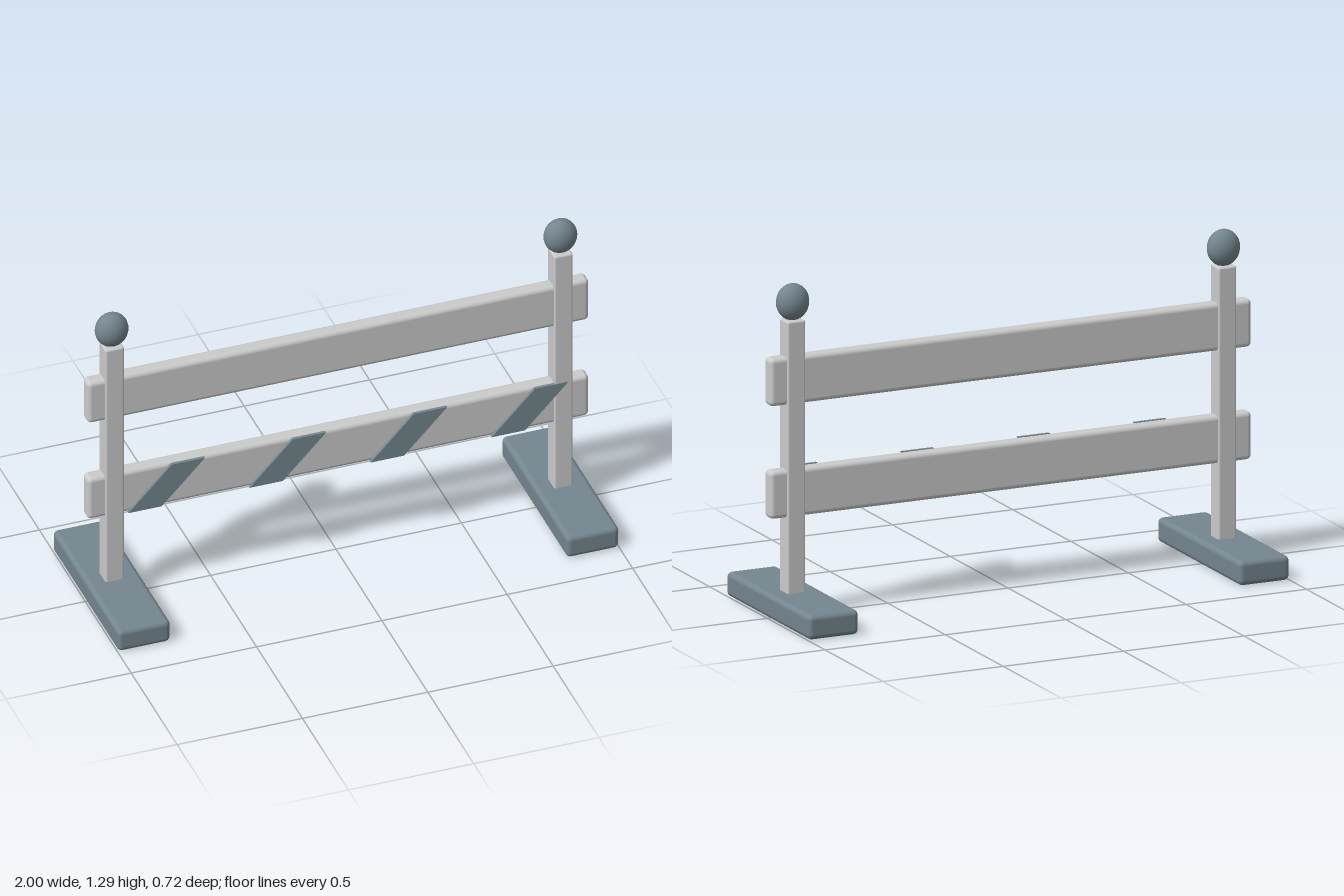
import * as THREE from 'three';
import { RoundedBoxGeometry } from 'three/addons/geometries/RoundedBoxGeometry.js';

const pale = new THREE.MeshStandardMaterial({ color: 0xc6cac6 });
const slate = new THREE.MeshStandardMaterial({ color: 0x74868f });

function add(parent, name, geometry, material, x, y, z) {
  const mesh = new THREE.Mesh(geometry, material);
  mesh.name = name;
  mesh.position.set(x, y, z);
  parent.add(mesh);
  return mesh;
}

const block = (w, h, d, r) => new RoundedBoxGeometry(w, h, d, 3, r);

export function createModel() {
  const model = new THREE.Group();
  model.name = 'barrier';

  // Two uprights, each with a long foot and an oval knob
  for (const [side, s] of [['left', 1], ['right', -1]]) {
    const upright = new THREE.Group();
    upright.name = side + 'Upright';
    upright.position.x = s * 0.895;
    model.add(upright);
    add(upright, 'foot', block(0.21, 0.095, 0.72, 0.02), slate, 0, 0.0475, 0);
    add(upright, 'post', block(0.075, 1.08, 0.075, 0.008), pale, 0, 0.61, 0);
    const knob = add(upright, 'knob', new THREE.SphereGeometry(1, 24, 16), slate, 0, 1.217, 0);
    knob.scale.set(0.065, 0.071, 0.052);
  }

  // Horizontal boards passing through the posts
  add(model, 'upperBoard', block(2, 0.186, 0.06, 0.018), pale, 0, 0.918, 0);
  add(model, 'lowerBoard', block(2, 0.186, 0.06, 0.018), pale, 0, 0.481, 0);

  // Slanted warning stripes on the front of the lower board
  const outline = new THREE.Shape([[-0.153, -0.09], [-0.02, -0.09], [0.153, 0.09], [0.02, 0.09]]
    .map(([x, y]) => new THREE.Vector2(x, y)));
  const stripe = new THREE.ExtrudeGeometry(outline, { depth: 0.012, bevelEnabled: false });
  for (let i = 0; i < 4; i++) {
    add(model, 'stripe' + (i + 1), stripe, slate, -0.69 + i * 0.483, 0.482, 0.029);
  }
  return model;
}
